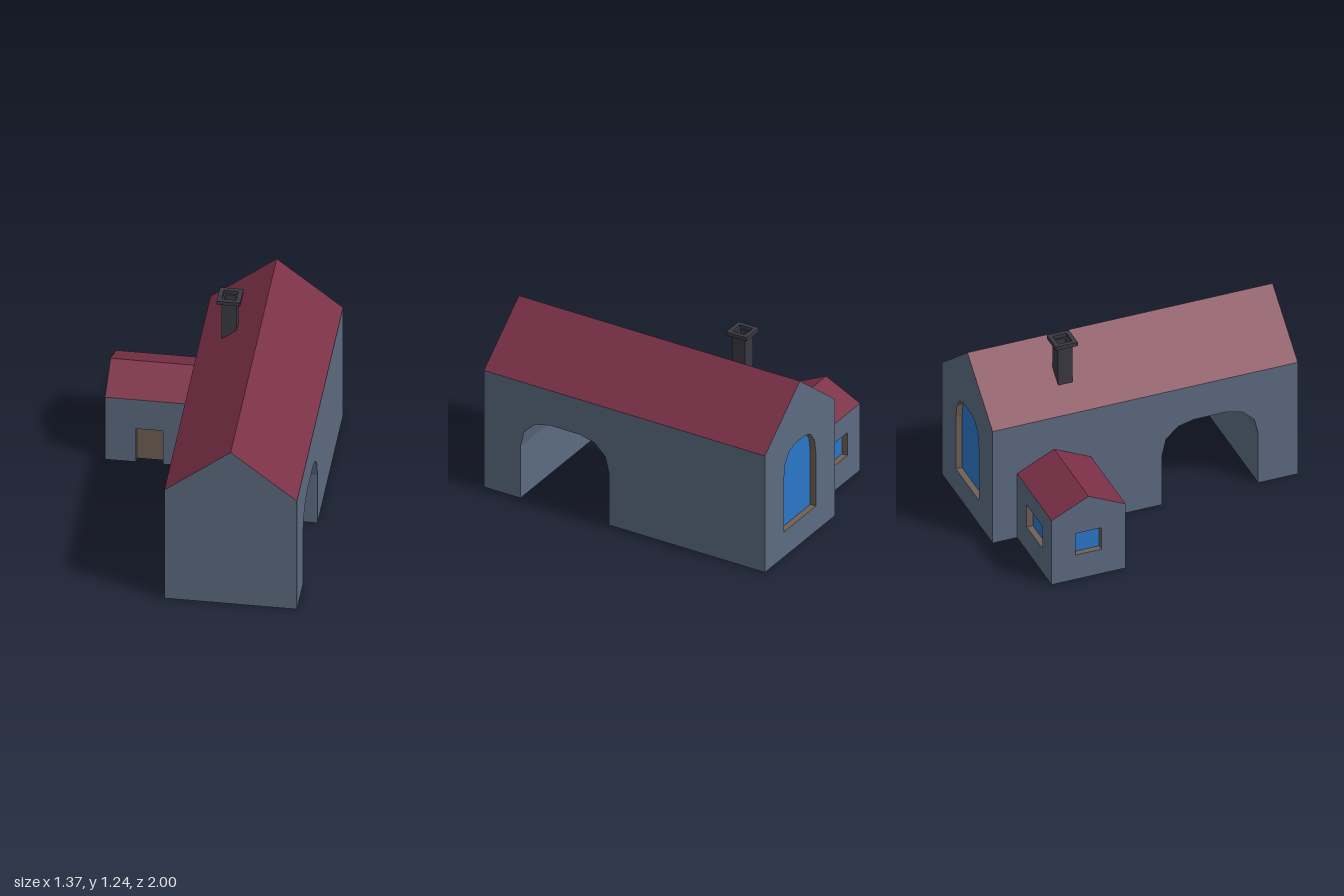
import * as THREE from 'three';

const mat = (name, color) => Object.assign(new THREE.MeshStandardMaterial({ color }), { name });

export function createModel() {
  const wall = mat('slate wall', 0x5c6a80);
  const roof = mat('red roof', 0x7a3046);
  const wood = mat('brown wood', 0x6f6053);
  const glass = mat('blue glass', 0x2a76c6);
  const soot = mat('dark chimney', 0x3a3944);

  const model = new THREE.Group();
  model.name = 'house';

  const add = (parent, name, geometry, material) => {
    const mesh = new THREE.Mesh(geometry, material);
    mesh.name = name;
    parent.add(mesh);
    return mesh;
  };
  // A side of the house: drawn in its own plane, facing local +z
  const side = (name, x, y, z, ry, rx = 0) => {
    const g = new THREE.Group();
    g.name = name;
    g.position.set(x, y, z);
    g.rotation.set(rx, ry, 0);
    model.add(g);
    return g;
  };
  const toVec = (pts) => pts.map(([x, y]) => new THREE.Vector2(x, y));
  const panel = (pts, holes = []) => {
    const shape = new THREE.Shape(toVec(pts));
    holes.forEach((h) => shape.holes.push(new THREE.Path(toVec(h))));
    return new THREE.ShapeGeometry(shape);
  };
  // Strip swept from a path back along -z; it faces left of the path
  const ribbon = (pts, depth) => {
    const pos = [];
    for (let i = 0; i < pts.length - 1; i++) {
      const [ax, ay] = pts[i], [bx, by] = pts[i + 1];
      pos.push(ax, ay, 0, bx, by, 0, bx, by, -depth, ax, ay, 0, bx, by, -depth, ax, ay, -depth);
    }
    const geo = new THREE.BufferGeometry();
    geo.setAttribute('position', new THREE.Float32BufferAttribute(pos, 3));
    geo.computeVertexNormals();
    return geo;
  };
  const rect = (x0, y0, x1, y1) => [[x0, y0], [x1, y0], [x1, y1], [x0, y1]];
  // Faceted arch from lower right over the top to lower left
  const arch = (cx, half, base, spring, top) => {
    const steps = [[1, 0], [0.92, 0.52], [0.667, 0.88], [0.333, 1]];
    const at = (s, [u, v]) => [cx + s * u * half, spring + v * (top - spring)];
    return [[cx + half, base], ...steps.map((p) => at(1, p)),
      ...steps.slice().reverse().map((p) => at(-1, p)), [cx - half, base]];
  };
  const inset = 0.04;
  const recess = (parent, name, outline, material, closed = true) => {
    add(parent, name + 'Frame', ribbon(closed ? [...outline, outline[0]] : outline, inset), wood);
    add(parent, name + 'Panel', panel(outline), material).position.z = -inset;
  };

  // Main hall
  const L = -0.13, R = 0.683, mid = (L + R) / 2, half = (R - L) / 2;
  const eave = 0.815, ridge = 1.14;
  const gable = [[-half, 0], [half, 0], [half, eave], [0, ridge], [-half, eave]];

  const front = side('hallFront', mid, 0, 1, 0);
  add(front, 'frontGable', panel(gable), wall);
  add(front, 'hallRoof', ribbon([[-half, eave], [0, ridge], [half, eave]], 2), roof);

  const back = side('hallBack', mid, 0, -1, Math.PI);
  const bigWindow = arch(0, 0.185, 0.175, 0.55, 0.73);
  add(back, 'backGable', panel(gable, [bigWindow]), wall);
  recess(back, 'archedWindow', bigWindow, glass);

  // Long walls with the archway running through
  const right = side('hallLeftSide', R, 0, 0, Math.PI / 2);
  const passage = arch(-0.425, 0.315, 0, 0.36, 0.57);
  const foot = [[1, 0], ...passage, [-1, 0]];
  const longWall = [...foot, [-1, eave], [1, eave]];
  add(right, 'longWall', panel(longWall), wall);
  add(right, 'archwayAndFloor', ribbon(foot, R - L), wall);
  const left = side('hallRightSide', L, 0, 0, -Math.PI / 2);
  add(left, 'longWall', panel(longWall.map(([u, v]) => [-u, v])), wall);

  // Side wing
  const W = -0.685, zB = -0.84, zF = -0.355, zM = (zB + zF) / 2, wHalf = (zF - zB) / 2;
  const wEave = 0.468, wRidge = 0.585, d0 = -0.495, d1 = -0.33, dTop = 0.25;

  const end = side('wingEnd', W, 0, zM, -Math.PI / 2);
  const endWindow = rect(-0.085, 0.177, 0.085, 0.334);
  add(end, 'endGable', panel(
    [[-wHalf, 0], [wHalf, 0], [wHalf, wEave], [0, wRidge], [-wHalf, wEave]], [endWindow]), wall);
  add(end, 'wingRoof', ribbon([[-wHalf, wEave], [0, wRidge], [wHalf, wEave]], L - W), roof);
  recess(end, 'endWindow', endWindow, glass);

  const wingBack = side('wingBack', 0, 0, zB, Math.PI);
  const backWindow = rect(0.285, 0.174, 0.537, 0.334);
  add(wingBack, 'wingBackWall', panel(rect(-L, 0, -W, wEave), [backWindow]), wall);
  recess(wingBack, 'backWindow', backWindow, glass);

  const wingFront = side('wingFront', 0, 0, zF, 0);
  const door = [[d1, 0], [d1, dTop], [d0, dTop], [d0, 0]];
  add(wingFront, 'wingFrontWall', panel(
    [[W, 0], [d0, 0], [d0, dTop], [d1, dTop], [d1, 0], [L, 0], [L, wEave], [W, wEave]]), wall);
  recess(wingFront, 'door', door, wood, false);

  // Wing floor, notched at the doorway
  const floor = side('wingFloor', 0, 0, 0, 0, Math.PI / 2);
  add(floor, 'floor', panel([[W, zB], [L, zB], [L, zF], [d1, zF], [d1, zF - inset],
    [d0, zF - inset], [d0, zF], [W, zF]]), wall);

  // Hollow chimney with a wider cap
  const chimney = side('chimney', 0.067, 0, -0.463, 0, -Math.PI / 2);
  const square = (h) => rect(-h, -h, h, h);
  const tube = (name, outer, inner, y0, y1) => {
    const shape = new THREE.Shape(toVec(square(outer)));
    shape.holes.push(new THREE.Path(toVec(square(inner))));
    const geo = new THREE.ExtrudeGeometry(shape, { depth: y1 - y0, bevelEnabled: false });
    add(chimney, name, geo, soot).position.z = y0;
  };
  tube('chimneyStack', 0.046, 0.034, 0.85, 1.212);
  tube('chimneyCap', 0.072, 0.045, 1.21, 1.236);
  add(chimney, 'flueFloor', panel(square(0.035)), soot).position.z = 1.14;

  return model;
}
